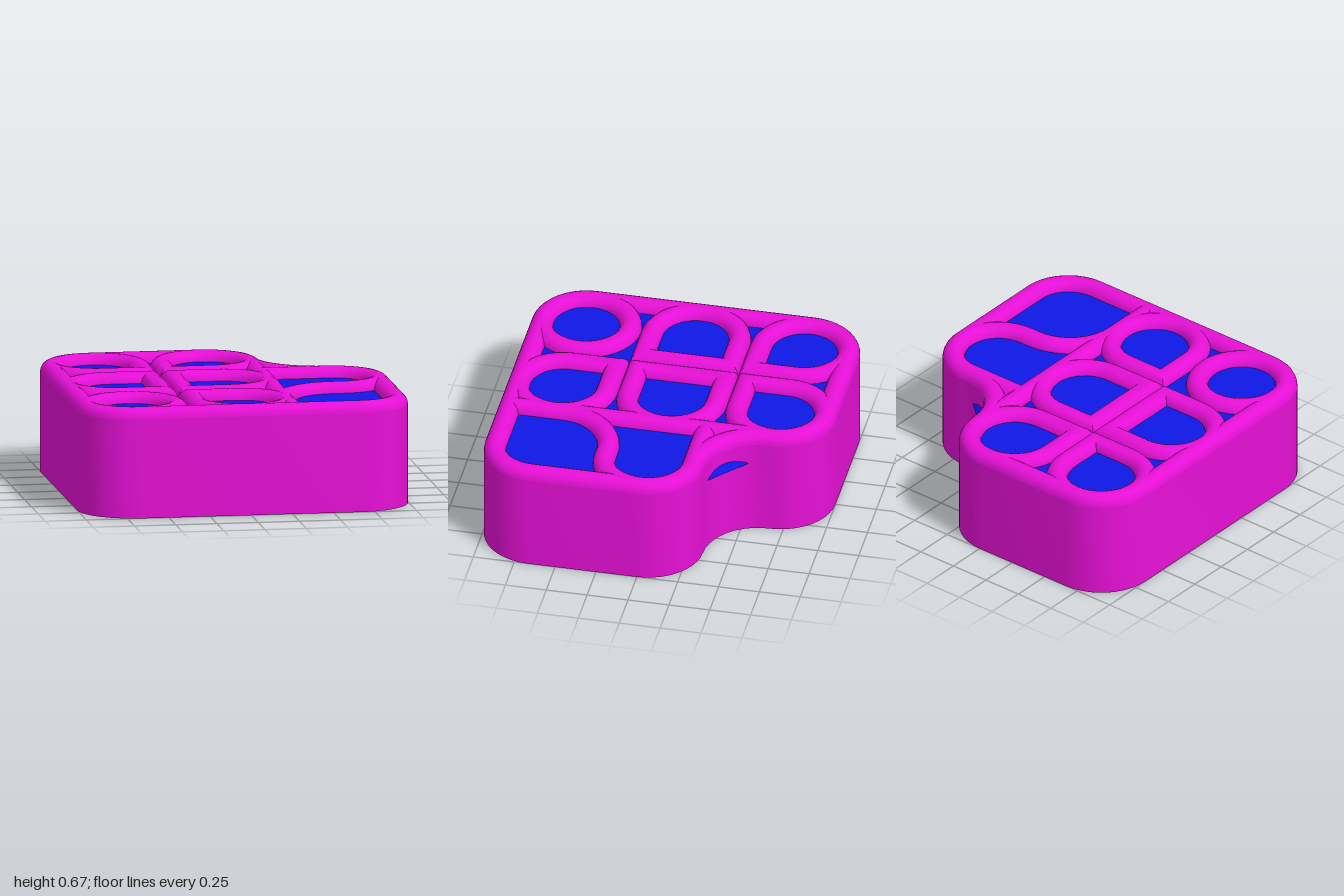
import * as THREE from 'three';
import { toCreasedNormals } from 'three/addons/utils/BufferGeometryUtils.js';
import { ConvexGeometry } from 'three/addons/geometries/ConvexGeometry.js';

const R = 0.0667;   // half width of a rim
const H = 0.6;      // height where the rims begin
const C = 2 / 3;    // cell pitch
const pink = new THREE.MeshStandardMaterial({ color: 0xe610d6, side: THREE.DoubleSide });
const blue = new THREE.MeshStandardMaterial({ color: 0x0f17e6, side: THREE.DoubleSide });

// Right-angled path through corners [x, z, radius], with rounded corners
function roundedPath(corners, closed) {
  const pts = [];
  const add = (p) => {
    if (!pts.length || pts[pts.length - 1].distanceTo(p) > 1e-3) pts.push(p);
  };
  const n = corners.length;
  const at = (i) => new THREE.Vector2(...corners[(i + n) % n]);
  for (let i = 0; i < n; i++) {
    const p = at(i), r = corners[i][2] || 0;
    if (!r || (!closed && (i === 0 || i === n - 1))) { add(p); continue; }
    const u = at(i - 1).sub(p).normalize(), v = at(i + 1).sub(p).normalize();
    const c = p.clone().addScaledVector(u, r).addScaledVector(v, r);
    for (let k = 0; k <= 10; k++) {
      const t = (k / 10) * Math.PI / 2;
      add(c.clone().addScaledVector(v, -r * Math.cos(t)).addScaledVector(u, -r * Math.sin(t)));
    }
  }
  if (closed && pts[0].distanceTo(pts[pts.length - 1]) < 1e-3) pts.pop();
  return pts;
}

// Half-round rim swept along a path, mitred at sharp corners
function rim(name, corners, closed = true) {
  const pts = roundedPath(corners, closed), n = pts.length, S = 10;
  const pos = [], idx = [];
  pts.forEach((p, i) => {
    const prev = closed ? pts[(i - 1 + n) % n] : pts[Math.max(i - 1, 0)];
    const next = closed ? pts[(i + 1) % n] : pts[Math.min(i + 1, n - 1)];
    const a = p.clone().sub(prev).normalize(), b = next.clone().sub(p).normalize();
    const t = a.clone().add(b).normalize();
    const miter = 1 / Math.max(t.dot(b.lengthSq() ? b : a), 0.5);
    for (let k = 0; k <= S; k++) {
      const w = (k / S) * Math.PI, off = Math.cos(w) * R * miter;
      pos.push(p.x - t.y * off, H + Math.sin(w) * R, p.y + t.x * off);
    }
  });
  for (let i = 0; i < (closed ? n : n - 1); i++) {
    for (let k = 0; k < S; k++) {
      const a = i * (S + 1) + k, b = ((i + 1) % n) * (S + 1) + k;
      idx.push(a, a + 1, b, b, a + 1, b + 1);
    }
  }
  const g = new THREE.BufferGeometry();
  g.setAttribute('position', new THREE.Float32BufferAttribute(pos, 3));
  g.setIndex(idx);
  const mesh = new THREE.Mesh(toCreasedNormals(g, 0.7), pink);
  mesh.name = name;
  return mesh;
}

// Outline of the L-shaped block, moved inwards by d
function outline(d) {
  const r = C / 2 - d, e = 1 - d, s = C / 2 - d;
  return [[-e, -e, r], [s, -e, r], [s, -C / 2 + d, C / 2 + d], [e, -C / 2 + d, r], [e, e, r], [-e, e, r]];
}

export function createModel() {
  const model = new THREE.Group();

  // Solid body
  const bodyGeo = new THREE.ExtrudeGeometry(new THREE.Shape(roundedPath(outline(0), true)),
    { depth: H, bevelEnabled: false });
  bodyGeo.rotateX(Math.PI / 2).translate(0, H, 0);
  const body = new THREE.Mesh(toCreasedNormals(bodyGeo, 0.7), pink);
  body.name = 'body';
  model.add(body);

  // Floor seen inside the cells
  const floorGeo = new THREE.ShapeGeometry(new THREE.Shape(roundedPath(outline(R), true)));
  floorGeo.rotateX(-Math.PI / 2).scale(1, 1, -1).translate(0, H + 0.004, 0);
  const index = floorGeo.index.array;
  for (let i = 0; i < index.length; i += 3) [index[i], index[i + 1]] = [index[i + 1], index[i]];
  floorGeo.computeVertexNormals();
  const floor = new THREE.Mesh(floorGeo, blue);
  floor.name = 'floor';
  model.add(floor);

  // Sloping web across the inner corner
  const web = new THREE.Mesh(new ConvexGeometry([
    [0.33, 0.47, -0.57], [0.595, 0.47, -0.335], [0.31, 0.47, -0.31],
    [0.3, 0.59, -0.45], [0.45, 0.59, -0.3], [0.31, 0.59, -0.31],
  ].map((p) => new THREE.Vector3(...p))), blue);
  web.name = 'cornerWeb';
  model.add(web);

  // Outer rim
  model.add(rim('outerRim', outline(R)));

  // Cell rims: centre x, z, then 1 for each rounded corner
  // (back left, back right, front right, front left on the page)
  const q = C / 2 - R;
  const cells = [
    [-C, -C, 1, 1, 0, 1], [0, -C, 1, 1, 1, 0],
    [-C, 0, 1, 0, 0, 1], [0, 0, 0, 1, 1, 0],
    [-C, C, 1, 1, 1, 1], [0, C, 0, 1, 1, 1],
  ];
  for (const [x, z, a, b, c, d] of cells) {
    model.add(rim('cellRim', [
      [x - q, z - q, a * q], [x + q, z - q, b * q], [x + q, z + q, c * q], [x - q, z + q, d * q],
    ]));
  }

  // Long divider and the curved rim of the two wide cells
  model.add(rim('divider', [[q, -C], [q, 1 - R]], false));
  model.add(rim('wideCellRim', [
    [q, -q], [1 - R, -q, q], [1 - R, q, q], [q, q, C / 2], [q, 1 - R],
  ], false));

  return model;
}
